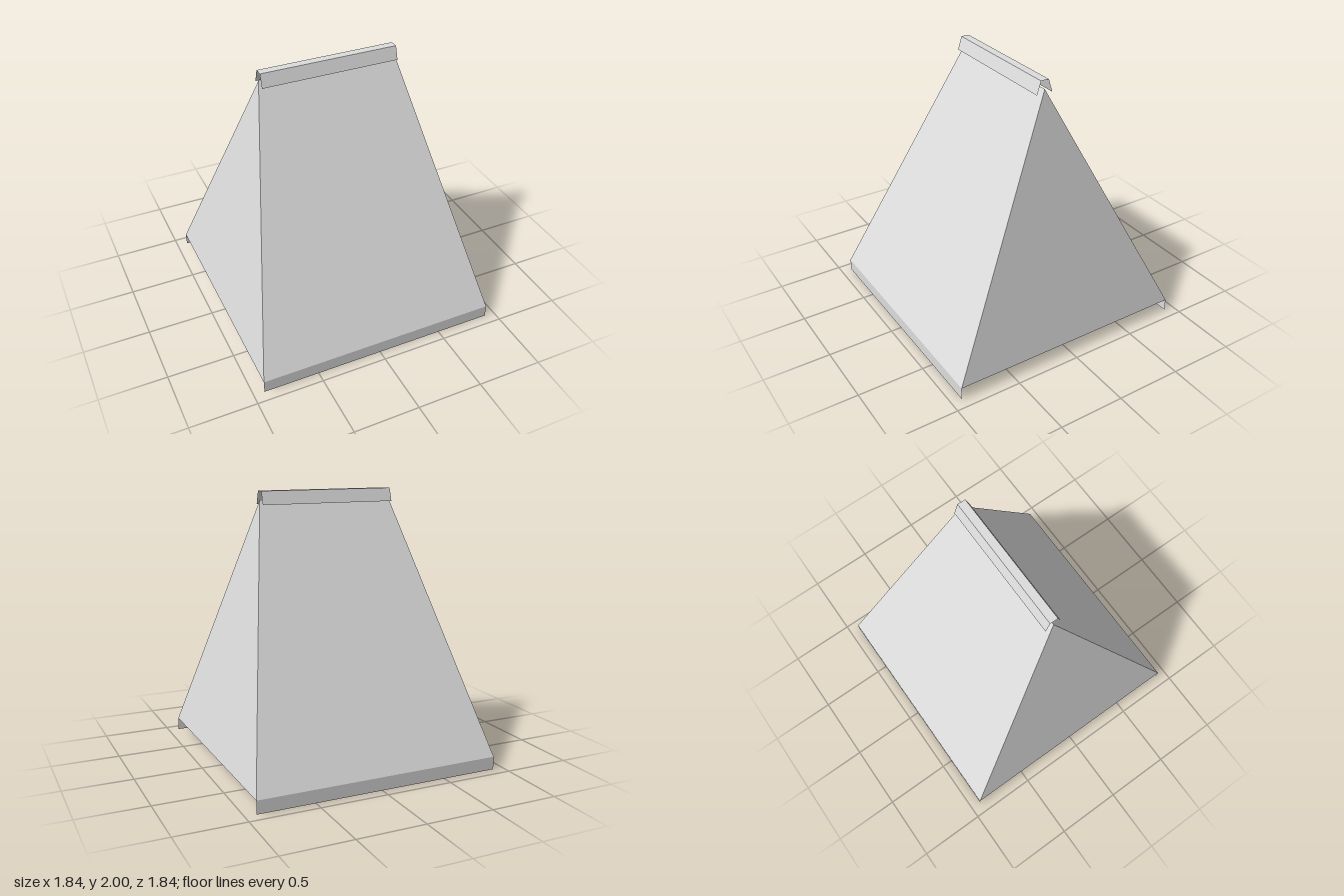
import * as THREE from 'three';

const roofGrey = new THREE.MeshStandardMaterial({ color: 0xdddddd, side: THREE.DoubleSide });
roofGrey.name = 'roofGrey';

// Flat sheet from three or four corners, counter-clockwise seen from outside
function sheet(name, ...corners) {
  const geometry = new THREE.BufferGeometry();
  geometry.setAttribute('position', new THREE.Float32BufferAttribute(corners.flat(), 3));
  geometry.setIndex(corners.length === 4 ? [0, 1, 2, 0, 2, 3] : [0, 1, 2]);
  geometry.computeVertexNormals();
  const mesh = new THREE.Mesh(geometry, roofGrey);
  mesh.name = name;
  return mesh;
}

export function createModel() {
  const model = new THREE.Group();
  model.name = 'hipRoof';

  const E = 0.92;       // half width of the eaves
  const R = 0.517;      // half length of the ridge
  const eaveY = 0.096, ridgeY = 1.935;
  const capTopY = 2, capLowY = 1.903, capIn = 0.031, capOut = 0.062;

  // Each half: a long slope, a hip end, an eaves board and one side of the ridge cap
  for (const [side, turn] of [['front', 0], ['back', Math.PI]]) {
    const half = new THREE.Group();
    half.name = side + 'Half';
    half.rotation.y = turn;
    half.add(
      sheet('slope', [-E, eaveY, E], [E, eaveY, E], [R, ridgeY, 0], [-R, ridgeY, 0]),
      sheet('hipEnd', [E, eaveY, E], [E, eaveY, -E], [R, ridgeY, 0]),
      sheet('eavesBoard', [-E, 0, E], [E, 0, E], [E, eaveY, E], [-E, eaveY, E]),
      sheet('ridgeCapSide', [-R, capLowY, capOut], [R, capLowY, capOut], [R, capTopY, capIn], [-R, capTopY, capIn])
    );
    model.add(half);
  }

  // Flat top of the ridge cap, open at both ends
  model.add(sheet('ridgeCapTop', [-R, capTopY, capIn], [R, capTopY, capIn], [R, capTopY, -capIn], [-R, capTopY, -capIn]));

  return model;
}
